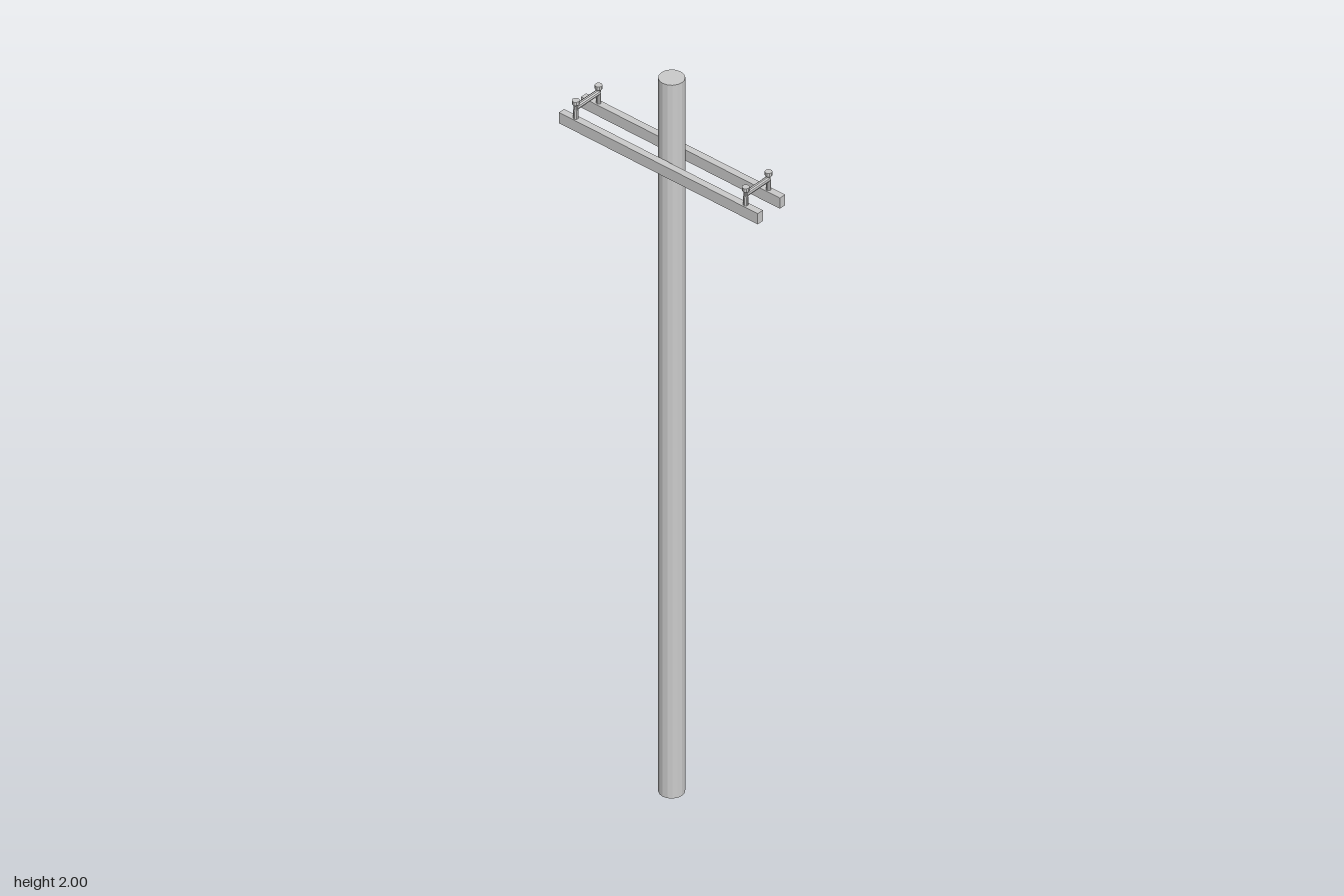
import * as THREE from 'three';

const material = new THREE.MeshStandardMaterial({ color: 0xcccccc, flatShading: true });

function addPart(parent, name, geometry, x, y, z) {
  const mesh = new THREE.Mesh(geometry, material);
  mesh.name = name;
  mesh.position.set(x, y, z);
  parent.add(mesh);
  return mesh;
}

export function createModel() {
  const model = new THREE.Group();
  model.name = 'utilityPole';

  // Tall round pole
  addPart(model, 'pole', new THREE.CylinderGeometry(0.031, 0.031, 2, 16), 0, 1, -0.002);

  // Insulator: foot, thin neck and wider cap
  const insulatorProfile = [
    [0, 0], [0.006, 0], [0.006, 0.022], [0.005, 0.026],
    [0.005, 0.036], [0.009, 0.04], [0.009, 0.05], [0, 0.05],
  ].map(([r, y]) => new THREE.Vector2(r, y));
  const insulator = new THREE.LatheGeometry(insulatorProfile, 10);
  const beam = new THREE.BoxGeometry(0.018, 0.03, 0.6);
  const rod = new THREE.CylinderGeometry(0.007, 0.007, 0.08, 10);

  // Twin crossarms, one on each side of the pole
  for (const side of [-1, 1]) {
    const label = side > 0 ? 'left' : 'right';
    addPart(model, label + 'Crossarm', beam, side * 0.0395, 1.772, side > 0 ? -0.002 : 0);
    for (const z of [-0.257, 0.256]) {
      addPart(model, label + (z > 0 ? 'Front' : 'Back') + 'Insulator', insulator, side * 0.0395, 1.787, z);
    }
  }

  // Rods joining each pair of insulators
  for (const z of [-0.257, 0.256]) {
    addPart(model, z > 0 ? 'frontRod' : 'backRod', rod, 0, 1.817, z).rotation.z = Math.PI / 2;
  }
  return model;
}
